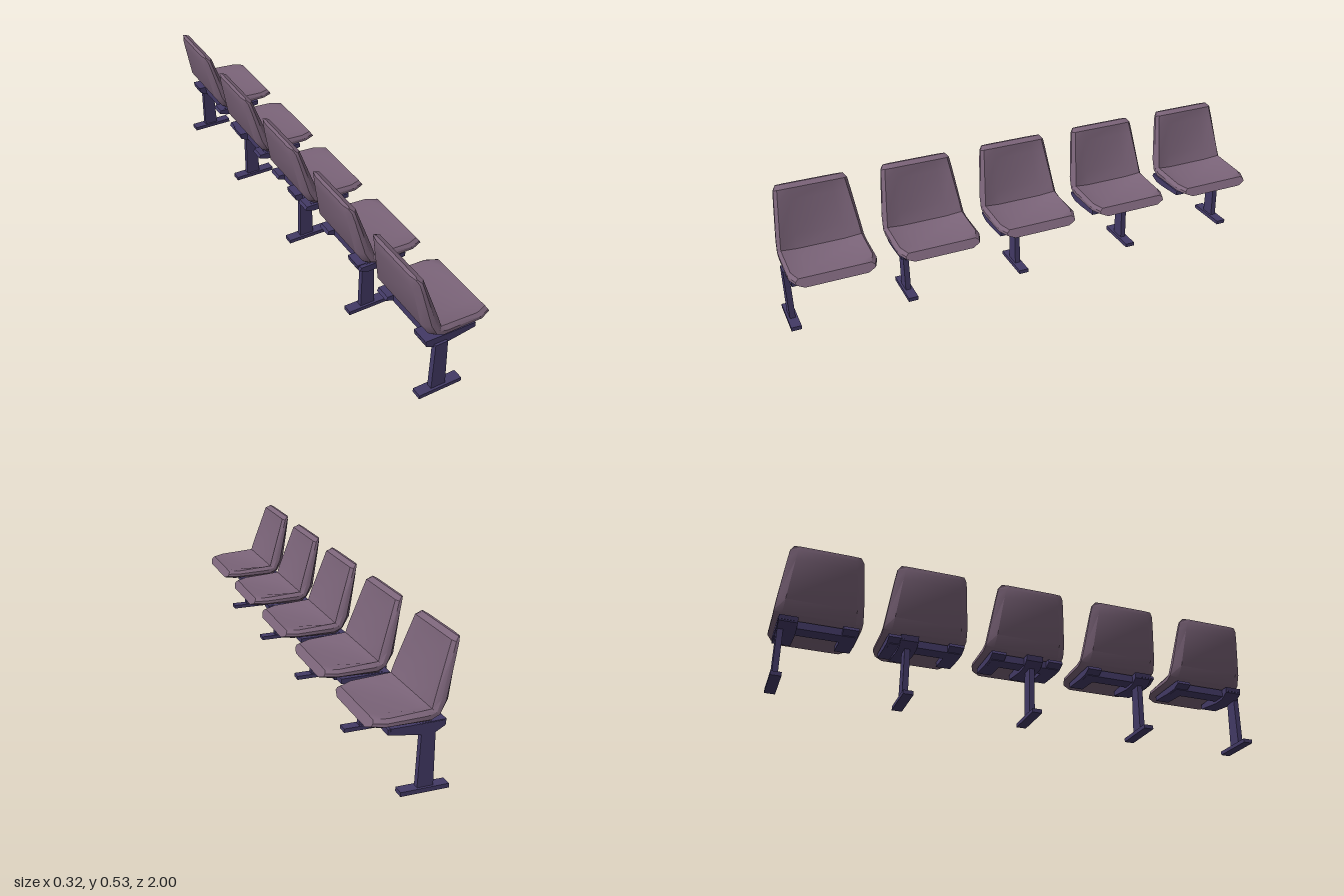
import * as THREE from 'three';
import { toCreasedNormals } from 'three/addons/utils/BufferGeometryUtils.js';

const seatPlastic = new THREE.MeshStandardMaterial({ color: 0x7b6479 });
seatPlastic.name = 'mauve plastic';
const frameMetal = new THREE.MeshStandardMaterial({ color: 0x433a66 });
frameMetal.name = 'dark violet metal';

// Seat stations from the top of the back to the front lip:
// front x, y, rear x, y, half width, dish depth along x, y
const STATIONS = [
  [-0.142, 0.526, -0.155, 0.523, 0.128, 0, 0],
  [-0.121, 0.515, -0.155, 0.505, 0.140, 0, 0],
  [-0.106, 0.470, -0.148, 0.470, 0.146, 0.008, 0],
  [-0.062, 0.340, -0.117, 0.315, 0.163, 0.018, 0],
  [-0.050, 0.300, -0.088, 0.270, 0.167, 0.012, 0.012],
  [-0.020, 0.298, -0.058, 0.249, 0.167, 0, 0.018],
  [0.100, 0.291, 0.120, 0.253, 0.166, 0, 0.008],
  [0.146, 0.287, 0.165, 0.256, 0.148, 0, 0],
];

// Shell lofted through the stations, with a shallow dish and chamfered sides
function seatGeometry() {
  const pos = [], index = [], n = 10;
  for (const [fx, fy, bx, by, w, dx, dy] of STATIONS) {
    const half = [[0.55 * w, 0, 1], [w - 0.012, 0, 0], [w, 0.3, 0], [w, 0.6, 0], [w - 0.03, 1, 0]];
    const loop = [...half, ...half.map(([z, t, d]) => [-z, t, d]).reverse()];
    for (const [z, t, d] of loop) {
      pos.push(fx + (bx - fx) * t - dx * d, fy + (by - fy) * t - dy * d, z);
    }
  }
  const last = STATIONS.length - 1;
  for (let i = 0; i < last; i++) {
    for (let j = 0; j < n; j++) {
      const k = (j + 1) % n;
      const a = i * n + j, b = i * n + k, c = b + n, d = a + n;
      index.push(a, b, c, a, c, d);
    }
  }
  for (let j = 1; j < n - 1; j++) {
    index.push(0, j + 1, j);
    index.push(last * n, last * n + j, last * n + j + 1);
  }
  const g = new THREE.BufferGeometry();
  g.setAttribute('position', new THREE.Float32BufferAttribute(pos, 3));
  g.setIndex(index);
  return toCreasedNormals(g, 0.6);
}

// Side outline in x and y, extruded symmetrically across z
function plate(points, width) {
  const shape = new THREE.Shape(points.map(([x, y]) => new THREE.Vector2(x, y)));
  const g = new THREE.ExtrudeGeometry(shape, { depth: width, bevelEnabled: false });
  return g.translate(0, 0, -width / 2);
}

function add(parent, name, geometry, material, z = 0) {
  const mesh = new THREE.Mesh(geometry, material);
  mesh.name = name;
  mesh.position.z = z;
  parent.add(mesh);
  return mesh;
}

export function createModel() {
  const model = new THREE.Group();
  model.name = 'seatRow';

  const shell = seatGeometry();
  const pad = plate([[-0.1, 0.25], [-0.106, 0.236], [-0.07, 0.222], [-0.02, 0.222],
    [0.09, 0.231], [0.09, 0.25]], 0.06);
  const rail = new THREE.BoxGeometry(0.06, 0.03, 0.28).translate(-0.045, 0.236, 0);
  const bracket = plate([[-0.108, 0.253], [-0.104, 0.23], [-0.07, 0.211], [-0.02, 0.21],
    [0.098, 0.228], [0.098, 0.248]], 0.07);
  const post = plate([[-0.072, 0.016], [-0.013, 0.016], [-0.021, 0.225], [-0.071, 0.225]], 0.022);
  const foot = new THREE.BoxGeometry(0.176, 0.016, 0.04).translate(-0.038, 0.009, 0);

  // Seats, each on a short rail with two support pads
  for (const z of [0.825, 0.41, -0.005, -0.42, -0.832]) {
    const seat = new THREE.Group();
    seat.name = 'seat';
    seat.position.z = z;
    add(seat, 'seatShell', shell, seatPlastic);
    add(seat, 'seatRail', rail, frameMetal);
    for (const s of [-1, 1]) add(seat, 'supportPad', pad, frameMetal, s * 0.12);
    model.add(seat);
  }

  // Legs with a tapered bracket on top and a flat foot
  for (const z of [0.978, 0.51, 0.025, -0.488, -0.968]) {
    const leg = new THREE.Group();
    leg.name = 'leg';
    leg.position.z = z;
    add(leg, 'post', post, frameMetal);
    add(leg, 'foot', foot, frameMetal);
    add(leg, 'bracket', bracket, frameMetal, THREE.MathUtils.clamp(z, -0.945, 0.945) - z);
    model.add(leg);
  }
  return model;
}
